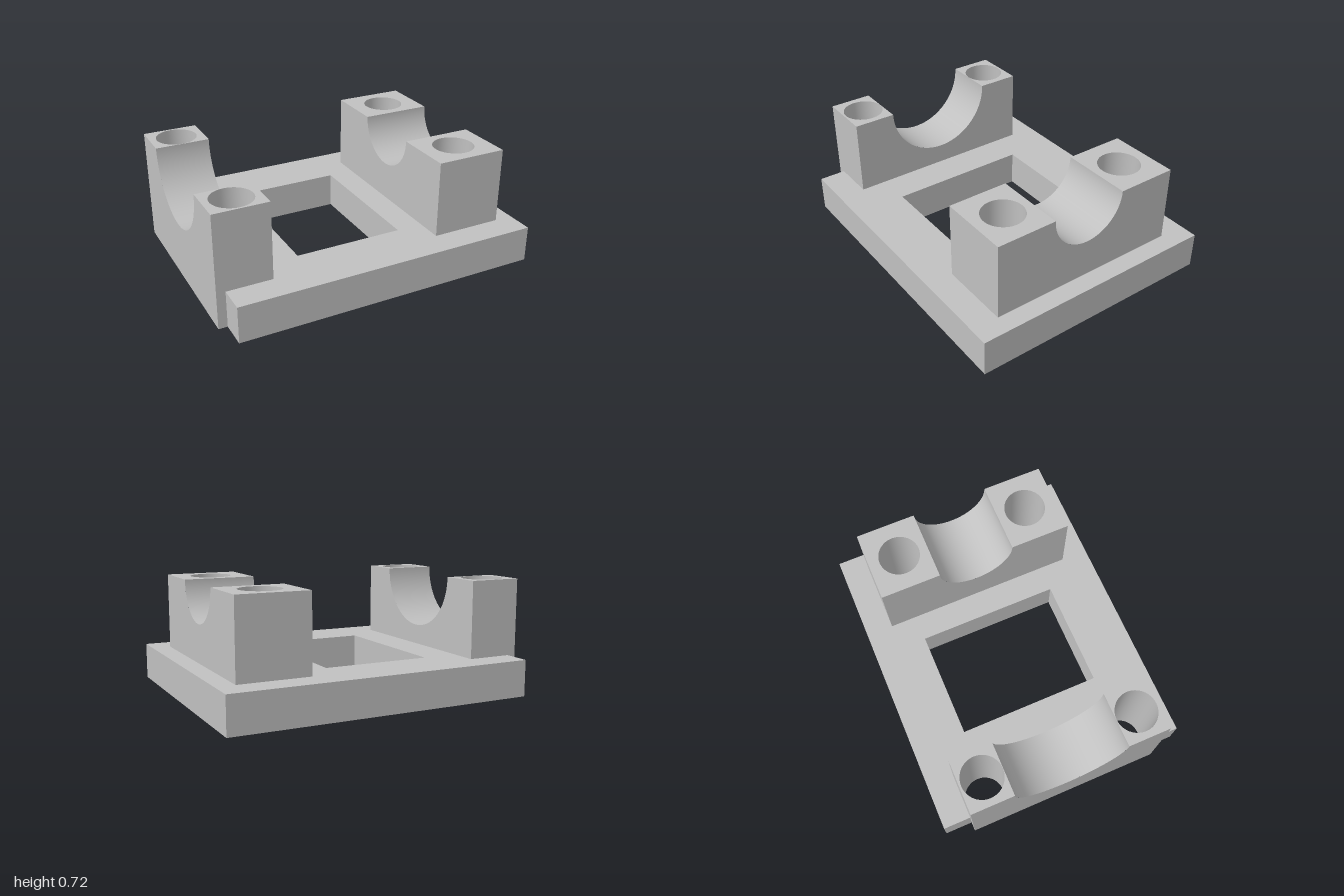
import * as THREE from 'three';
import { mergeGeometries } from 'three/addons/utils/BufferGeometryUtils.js';

const DECK = 0.23, TOP = 0.715, HALF = 0.627; // plate top, block top, block half depth

// Vertical walls along an [x, z] loop; front-left to front-right faces outward
function walls(loop, y0, y1) {
  return loop.map(([x1, z1], i) => {
    const [x2, z2] = loop[(i + 1) % loop.length];
    const g = new THREE.PlaneGeometry(Math.hypot(x2 - x1, z2 - z1), y1 - y0);
    g.rotateY(Math.atan2(z1 - z2, x2 - x1));
    return g.translate((x1 + x2) / 2, (y0 + y1) / 2, (z1 + z2) / 2);
  });
}

const rect = (x0, x1, z0, z1) => [[x0, z1], [x1, z1], [x1, z0], [x0, z0]];
const path = (loop, Type = THREE.Path) => new Type(loop.map(([x, z]) => new THREE.Vector2(x, -z)));
const circle = (x, z, r) => new THREE.Path().absarc(x, -z, r, 0, Math.PI * 2, true);

// Horizontal face with holes, facing up or down
function flat(loop, holes, y, up = true) {
  const s = path(loop, THREE.Shape);
  s.holes.push(...holes);
  return new THREE.ShapeGeometry(s, 24).rotateX(up ? -Math.PI / 2 : Math.PI / 2).translate(0, y, 0);
}

export function createModel() {
  const group = new THREE.Group();
  group.name = 'bearingBase';
  const grey = new THREE.MeshStandardMaterial({ color: 0xc0c0c0 });
  grey.name = 'machinedGrey';
  const add = (name, parts) => {
    const mesh = new THREE.Mesh(mergeGeometries(parts), grey);
    mesh.name = name;
    group.add(mesh);
  };

  const blocks = [
    { name: 'wideSaddle', x0: -1, x1: -0.66, groove: 0.357, boreX: -0.83, boreZ: 0.487, boreR: 0.128 },
    { name: 'narrowSaddle', x0: 0.427, x1: 0.882, groove: 0.244, boreX: 0.654, boreZ: 0.428, boreR: 0.13 },
  ];
  const [wide, narrow] = blocks;

  // Base plate: a tab under the wide saddle, a rectangular window and four bores
  const L = -0.945;
  const outline = [[L, 0.8], [1, 0.8], [1, -0.8], [L, -0.8], [L, -HALF], [-1, -HALF], [-1, HALF], [L, HALF]];
  const deck = outline.map(([x, z]) => [x === -1 ? wide.x1 : x, z]); // notched around the wide saddle
  const windowLoop = rect(-0.432, 0.257, -0.457, 0.457);
  const bores = blocks.flatMap(b => [-1, 1].map(s => circle(b.boreX, s * b.boreZ, b.boreR)));
  add('basePlate', [
    ...walls(outline, 0, DECK),
    ...walls([...windowLoop].reverse(), 0, DECK),
    flat(deck, [path(windowLoop), path(rect(narrow.x0, narrow.x1, -HALF, HALF))], DECK),
    flat(outline, [path(windowLoop), ...bores], 0, false),
  ]);

  for (const b of blocks) {
    const { x0, x1, groove: r } = b, width = x1 - x0, mid = (x0 + x1) / 2;

    // End faces with the half-round cut
    const profile = new THREE.Shape();
    profile.moveTo(-HALF, DECK).lineTo(HALF, DECK).lineTo(HALF, TOP).lineTo(r, TOP);
    profile.absarc(0, TOP, r, 0, -Math.PI, true).lineTo(-HALF, TOP);
    const end = (x, s) => new THREE.ShapeGeometry(profile, 48).rotateY(s * Math.PI / 2).translate(x, 0, 0);

    // Front and back walls are the first and third sides of the footprint
    const sides = walls(rect(x0, x1, -HALF, HALF), DECK, TOP);
    const tops = [-1, 1].map(s => flat(
      rect(x0, x1, Math.min(s * r, s * HALF), Math.max(s * r, s * HALF)),
      [circle(b.boreX, s * b.boreZ, b.boreR)], TOP));
    add(b.name + 'Block', [end(x0, -1), end(x1, 1), sides[0], sides[2], ...tops]);

    // Inward-facing half cylinder for the shaft
    add(b.name + 'Groove', [new THREE.LatheGeometry(
      [new THREE.Vector2(r, width / 2), new THREE.Vector2(r, -width / 2)], 48, Math.PI, Math.PI)
      .rotateZ(Math.PI / 2).translate(mid, TOP, 0)]);

    // Inward-facing bolt bores running through block and plate
    add(b.name + 'Bores', [-1, 1].map(s => new THREE.LatheGeometry(
      [new THREE.Vector2(b.boreR, TOP), new THREE.Vector2(b.boreR, 0)], 48)
      .translate(b.boreX, 0, s * b.boreZ)));
  }
  return group;
}
